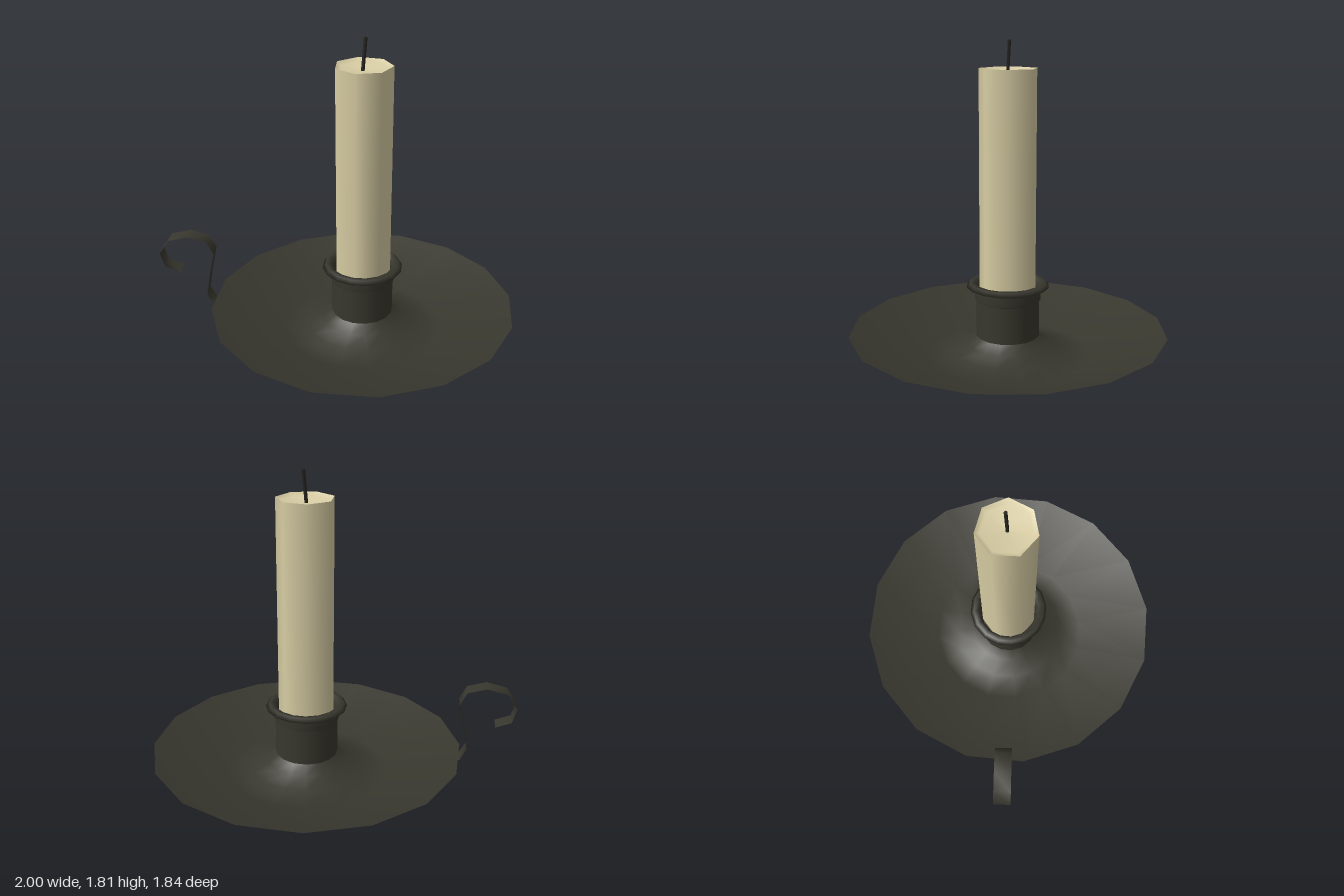
import * as THREE from 'three';

const metal = new THREE.MeshStandardMaterial({ color: 0x38372e, side: THREE.DoubleSide });
metal.name = 'dark metal';
const wax = new THREE.MeshStandardMaterial({ color: 0xd8cda4, side: THREE.DoubleSide });
wax.name = 'cream wax';
const char = new THREE.MeshStandardMaterial({ color: 0x24231f });
char.name = 'burnt wick';

const AXIS_X = 0.08; // the handle pushes the candle axis off centre

function lathe(name, points, sides, material, phi = 0) {
  const profile = points.map(([r, y]) => new THREE.Vector2(r, y));
  const mesh = new THREE.Mesh(new THREE.LatheGeometry(profile, sides, phi), material);
  mesh.name = name;
  mesh.position.x = AXIS_X;
  return mesh;
}

// Flat ribbon that follows a path of [distance from axis, height]
function ribbon(path, width) {
  const geometry = new THREE.PlaneGeometry(1, 1, 1, path.length - 1);
  const pos = geometry.attributes.position;
  path.forEach(([u, y], i) => {
    pos.setXYZ(i * 2, u, y, -width / 2);
    pos.setXYZ(i * 2 + 1, u, y, width / 2);
  });
  geometry.computeVertexNormals();
  return geometry;
}

export function createModel() {
  const group = new THREE.Group();
  group.name = 'candleHolder';

  // Dish: thin sheet, sloping down from the rim and flaring up to the socket
  group.add(lathe('dish', [
    [0.15, 0.15], [0.185, 0.115], [0.24, 0.07], [0.34, 0.03], [0.48, 0], [0.92, 0.15],
  ], 16, metal));
  group.add(lathe('socketFloor', [[0, 0.15], [0.18, 0.15]], 16, metal));

  // Socket with collar and lip
  group.add(lathe('socket', [[0.185, 0.1], [0.185, 0.34]], 16, metal));
  group.add(lathe('collar', [[0.185, 0.33], [0.193, 0.335], [0.193, 0.4]], 16, metal));
  group.add(lathe('lip', [
    [0.193, 0.395], [0.24, 0.41], [0.22, 0.432], [0.19, 0.432], [0.175, 0.39], [0.17, 0.33],
  ], 16, metal));

  // Seven-sided candle with a slightly hollow top
  group.add(lathe('candle', [[0.167, 0.3], [0.167, 1.655]], 7, wax, 0.134));
  group.add(lathe('candleTop', [[0.167, 1.655], [0.14, 1.637], [0, 1.625]], 7, wax, 0.134));

  // Leaning wick
  const wick = new THREE.Mesh(new THREE.CylinderGeometry(0.01, 0.01, 0.2, 6), char);
  wick.name = 'wick';
  wick.position.set(AXIS_X + 0.002, 1.71, 0);
  wick.rotation.z = -0.09;
  group.add(wick);

  // Curled ribbon handle on the back right of the rim
  const handle = new THREE.Mesh(ribbon([
    [0.84, 0.115], [0.91, 0.14], [0.947, 0.21], [0.92, 0.36], [0.89, 0.49], [0.93, 0.57],
    [1.04, 0.602], [1.155, 0.575], [1.215, 0.49], [1.19, 0.4], [1.1, 0.365],
  ], 0.1), metal);
  handle.name = 'handle';
  handle.position.x = AXIS_X;
  handle.rotation.y = Math.PI - Math.PI / 6;
  group.add(handle);

  return group;
}
